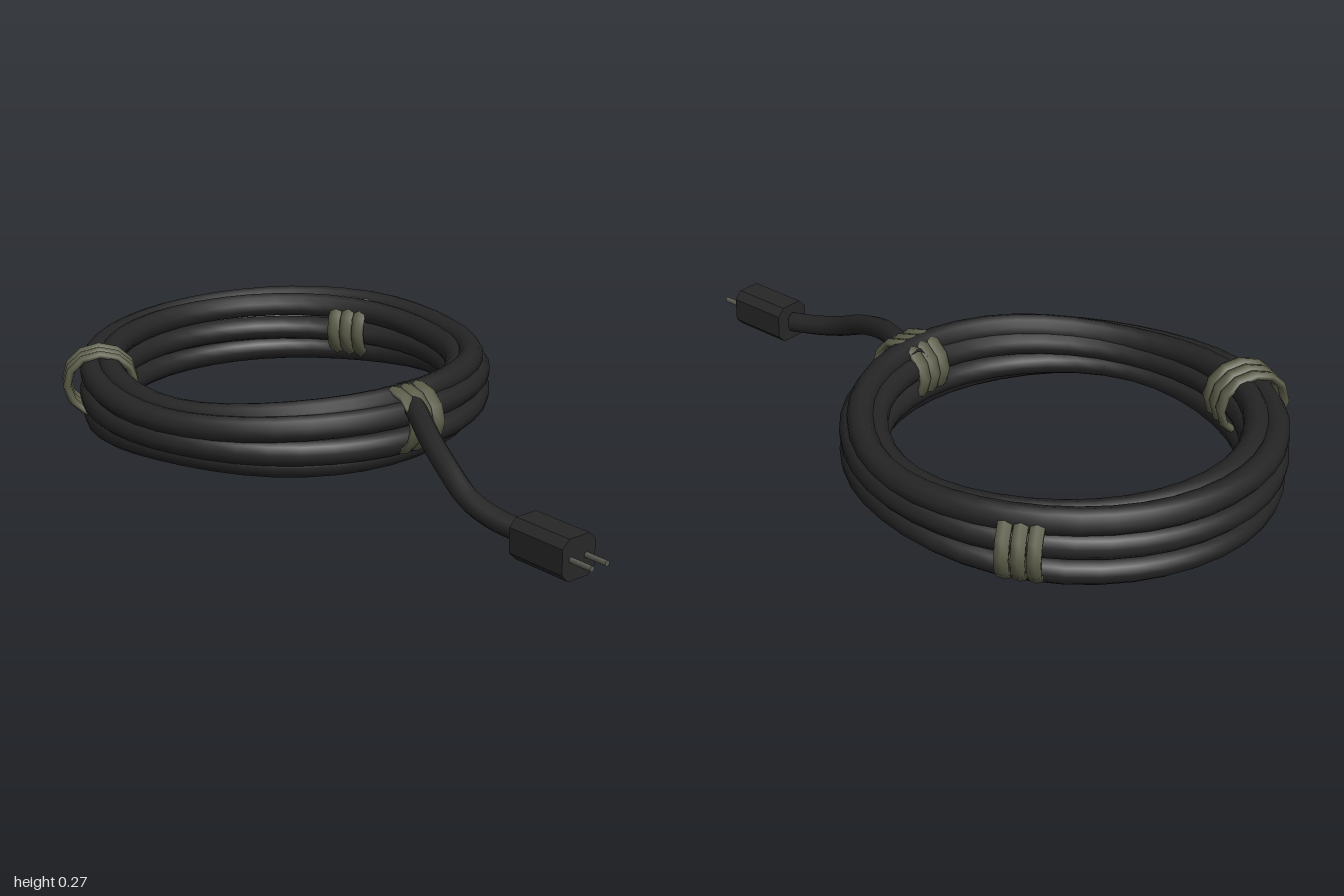
import * as THREE from 'three';

const CX = -0.4;        // coil centre
const COIL_R = 0.528;   // mean coil radius
const CORD_R = 0.036;
const TURNS = 6;

const material = (name, color) => {
  const m = new THREE.MeshStandardMaterial({ color });
  m.name = name;
  return m;
};

export function createModel() {
  const cordMat = material('black rubber', 0x252525);
  const plugMat = material('plug black', 0x272727);
  const tieMat = material('olive tie', 0x5c5d49);
  const prongMat = material('dull metal', 0x5a5a52);

  const model = new THREE.Group();
  model.name = 'coiledCable';
  const add = (parent, name, geometry, mat) => {
    const mesh = new THREE.Mesh(geometry, mat);
    mesh.name = name;
    parent.add(mesh);
    return mesh;
  };

  // Coil: one closed strand whose place in the bundle shifts with every turn
  const points = [];
  const perTurn = 28;
  for (let i = 0; i < TURNS * perTurn; i++) {
    const angle = (i / perTurn) * Math.PI * 2;
    const phase = angle / TURNS + Math.PI / 2;
    const c = Math.cos(angle), s = Math.sin(angle);
    const halfHeight = 0.088 + 0.03 * (1 - Math.exp(-3 * (c - 0.3) ** 2)) - CORD_R;
    const r = COIL_R + 0.03 * Math.tanh(2.5 * Math.cos(phase)) / Math.tanh(2.5);
    const y = 0.155 - 0.011 * s + halfHeight * Math.sin(phase);
    points.push(new THREE.Vector3(CX + r * c, y, r * s));
  }
  const coilPath = new THREE.CatmullRomCurve3(points, true);
  add(model, 'coil', new THREE.TubeGeometry(coilPath, TURNS * 40, CORD_R, 10, true), cordMat);

  // Loose end running out to the plug
  const tailPath = new THREE.CatmullRomCurve3([
    [0.08, 0.222, -0.04], [0.14, 0.225, -0.01], [0.22, 0.213, 0.03], [0.33, 0.188, 0.085],
    [0.45, 0.145, 0.127], [0.56, 0.095, 0.148], [0.65, 0.07, 0.142], [0.735, 0.058, 0.126],
  ].map((p) => new THREE.Vector3(...p)));
  add(model, 'looseEnd', new THREE.TubeGeometry(tailPath, 28, 0.03, 10), cordMat);
  const cap = add(model, 'looseEndCap', new THREE.CircleGeometry(0.03, 10), cordMat);
  cap.position.copy(tailPath.getPoint(1));
  cap.lookAt(cap.position.clone().add(tailPath.getTangent(1)));

  // Ties: three flattened loops each, wrapped around the bundle
  const addTie = (name, angle, radius, y, halfWidth, halfHeight) => {
    const tie = new THREE.Group();
    tie.name = name;
    tie.position.set(CX + radius * Math.cos(angle), y, radius * Math.sin(angle));
    tie.rotation.y = -angle;
    for (let i = -1; i <= 1; i++) {
      const loop = add(tie, 'tieLoop', new THREE.TorusGeometry(0.088, 0.011, 6, 12), tieMat);
      loop.scale.set(halfWidth / 0.099, halfHeight / 0.099, 1.9);
      loop.position.z = i * 0.04;
    }
    model.add(tie);
  };
  addTie('rightTie', 0, 0.54, 0.172, 0.098, 0.096);
  addTie('frontTie', Math.PI * 0.667, 0.533, 0.172, 0.108, 0.099);
  addTie('backTie', -Math.PI * 0.655, 0.53, 0.16, 0.1, 0.099);

  // Plug: chamfered block with two round prongs
  const plug = new THREE.Group();
  plug.name = 'plug';
  plug.position.set(0.745, 0.056, 0.13);
  const h = 0.056, k = 0.034;
  const outline = new THREE.Shape([
    [h, k], [k, h], [-k, h], [-h, k], [-h, -k], [-k, -h], [k, -h], [h, -k],
  ].map(([x, y]) => new THREE.Vector2(x, y)));
  const body = new THREE.ExtrudeGeometry(outline, { depth: 0.185, bevelEnabled: false });
  body.rotateY(Math.PI / 2);
  add(plug, 'plugBody', body, plugMat);
  for (const side of [-1, 1]) {
    const prong = add(plug, 'prong', new THREE.CylinderGeometry(0.008, 0.008, 0.08, 8), prongMat);
    prong.rotation.z = Math.PI / 2;
    prong.position.set(0.215, 0, side * 0.026);
  }
  model.add(plug);

  return model;
}
